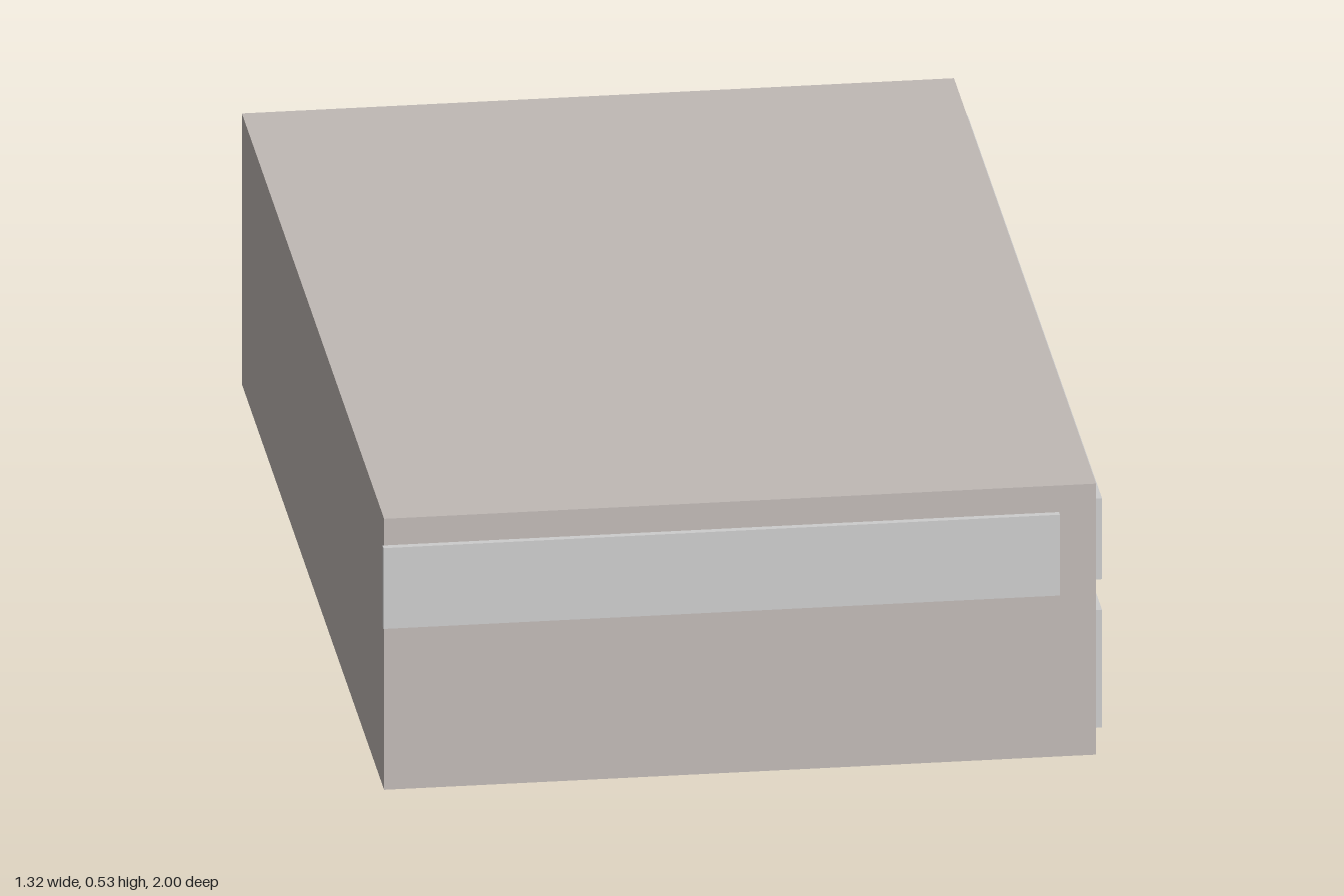
import * as THREE from 'three';

export function createModel() {
  const model = new THREE.Group();
  model.name = 'flatRoofBuilding';

  const wall = new THREE.MeshStandardMaterial({ color: 0xc0b9b5 });
  wall.name = 'warmGreyWall';
  const panel = new THREE.MeshStandardMaterial({ color: 0xcccccc });
  panel.name = 'lightGreyPanel';

  // Box given by its lower and upper corners
  function block(name, material, [x0, y0, z0], [x1, y1, z1]) {
    const mesh = new THREE.Mesh(new THREE.BoxGeometry(x1 - x0, y1 - y0, z1 - z0), material);
    mesh.position.set((x0 + x1) / 2, (y0 + y1) / 2, (z0 + z1) / 2);
    mesh.name = name;
    model.add(mesh);
  }

  // Main volume
  const side = 0.643, front = 0.987;
  block('body', wall, [-0.659, 0, -front], [side, 0.53, front]);

  // Long band on the front, slightly past the corner
  block('frontBand', panel, [-0.662, 0.32, front], [0.575, 0.478, 1]);

  // Upper band and two lower panels on the left side
  block('sideBand', panel, [side, 0.32, -0.932], [0.661, 0.478, 0.932]);
  block('sidePanelFront', panel, [side, 0.03, 0.203], [0.661, 0.26, 0.932]);
  block('sidePanelBack', panel, [side, 0.03, -0.932], [0.661, 0.26, -0.19]);

  // Two large panels on the back
  block('backPanelRight', panel, [-0.648, 0.075, -1], [-0.055, 0.478, -front]);
  block('backPanelLeft', panel, [-0.003, 0.075, -1], [0.59, 0.478, -front]);

  return model;
}
